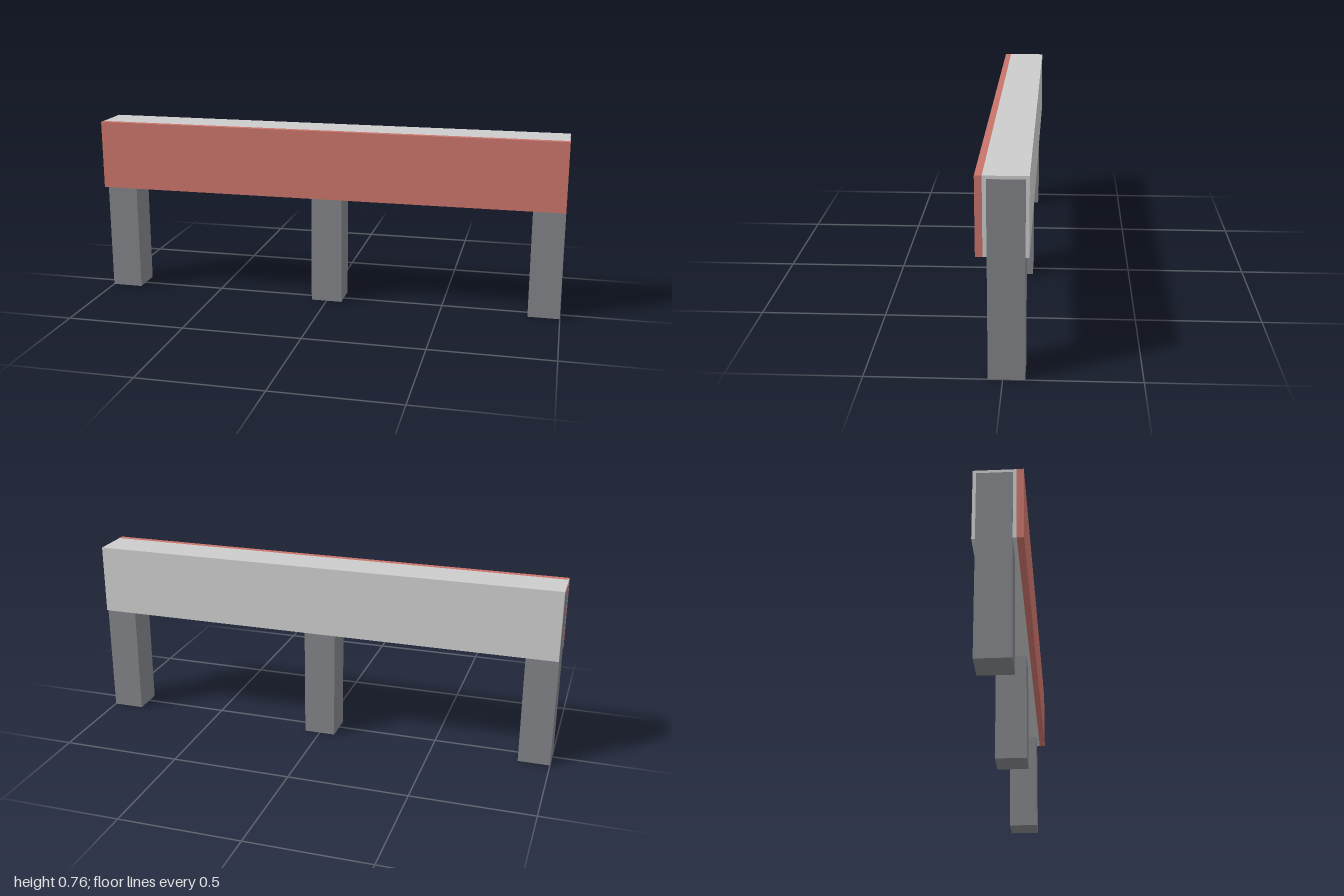
import * as THREE from 'three';

export function createModel() {
  const model = new THREE.Group();
  const grey = new THREE.MeshStandardMaterial({ color: 0xcccccc });
  const red = new THREE.MeshStandardMaterial({ color: 0xc8736a });
  const dark = new THREE.MeshStandardMaterial({ color: 0x808286 });

  // Box given by its lower and upper corners
  function box(name, material, [x0, y0, z0], [x1, y1, z1]) {
    const mesh = new THREE.Mesh(new THREE.BoxGeometry(x1 - x0, y1 - y0, z1 - z0), material);
    mesh.position.set((x0 + x1) / 2, (y0 + y1) / 2, (z0 + z1) / 2);
    mesh.name = name;
    model.add(mesh);
  }

  const bottom = 0.468, top = 0.76, front = 0.093, seam = 0.067;

  // Long beam, a hair shorter than the panel so the post ends show
  box('beam', grey, [-0.999, bottom, -front], [0.999, top, seam]);

  // Coloured panel along the front
  box('frontPanel', red, [-1, bottom, seam], [1, top, front]);

  // Three square posts running up inside the beam
  const half = 0.0665;
  for (const [name, x] of [['rightPost', half - 1], ['middlePost', 0], ['leftPost', 1 - half]]) {
    box(name, dark, [x - half, 0, -0.08], [x + half, 0.748, 0.053]);
  }

  return model;
}
